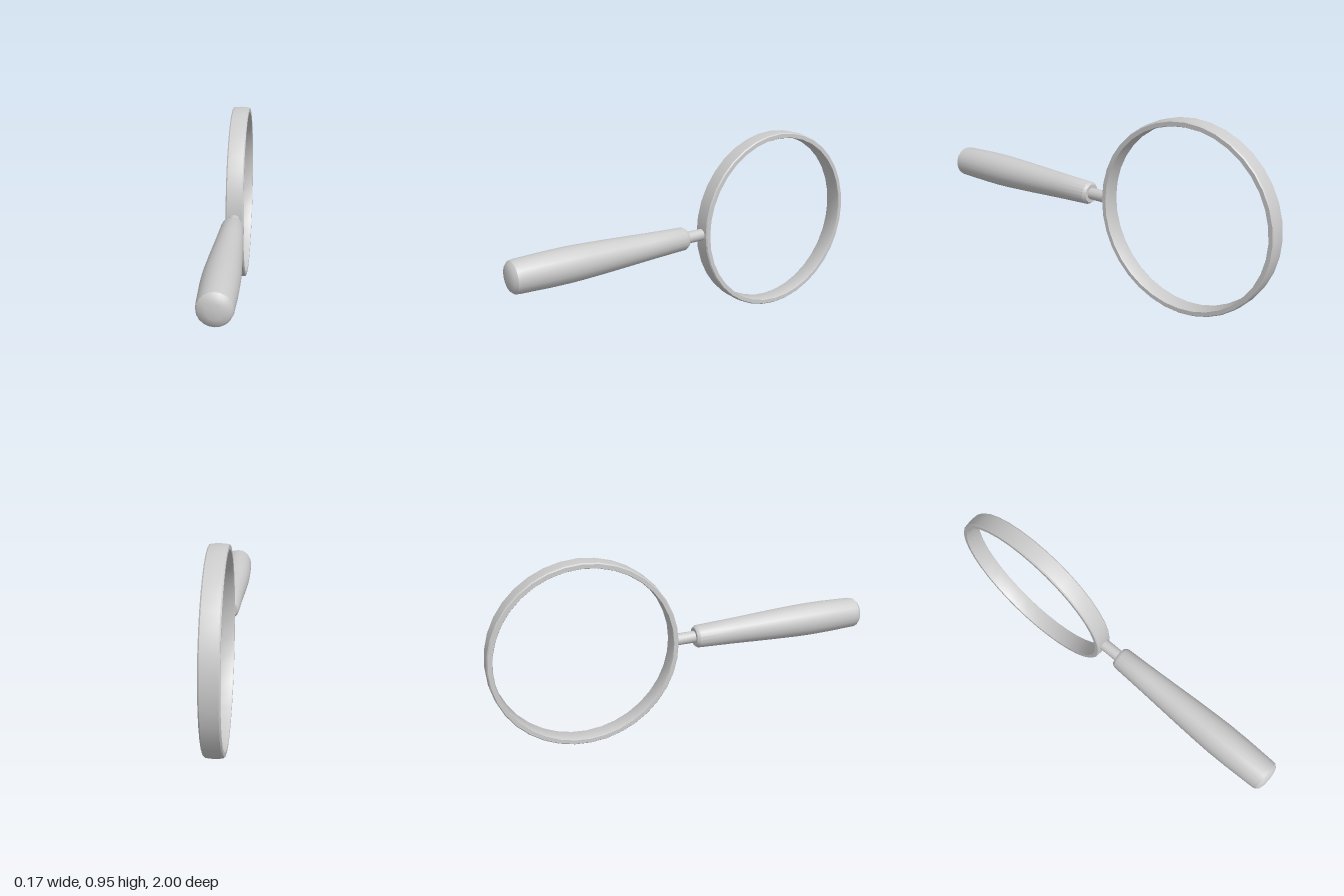
import * as THREE from 'three';
import { toCreasedNormals } from 'three/addons/utils/BufferGeometryUtils.js';

const CENTRE_Y = 0.477;

// Revolve a profile of [radius, height] pairs, keeping sharp edges crisp
function turned(name, profile, sides) {
  const points = profile.map(([r, h]) => new THREE.Vector2(r, h));
  const geometry = toCreasedNormals(new THREE.LatheGeometry(points, sides), 0.6);
  const material = new THREE.MeshStandardMaterial({ color: 0xcccccc });
  const mesh = new THREE.Mesh(geometry, material);
  mesh.name = name;
  return mesh;
}

export function createModel() {
  const group = new THREE.Group();
  group.name = 'magnifyingGlass';

  // Open rim: a flat band with bevelled edges, its axis along x
  const rim = turned('rim', [
    [0.449, -0.045], [0.469, -0.045], [0.474, -0.039], [0.477, 0],
    [0.474, 0.039], [0.469, 0.045], [0.449, 0.045], [0.446, 0.039],
    [0.446, -0.039], [0.449, -0.045],
  ], 36);
  rim.rotation.z = Math.PI / 2;
  rim.position.set(0, CENTRE_Y, -0.523);

  // Thin stem joining rim and handle, its axis along z
  const stem = turned('stem', [[0, -0.06], [0.03, -0.06], [0.03, 0.08], [0, 0.08]], 16);

  // Tapered grip with a bevelled collar and a slightly domed butt
  const handle = turned('handle', [
    [0, 0.05], [0.048, 0.05], [0.058, 0.065], [0.066, 0.25], [0.078, 0.48],
    [0.084, 0.62], [0.086, 0.7], [0.085, 0.8], [0.08, 0.955], [0.077, 0.976],
    [0.064, 0.99], [0.035, 0.998], [0, 1],
  ], 20);

  for (const part of [stem, handle]) {
    part.rotation.x = Math.PI / 2;
    part.position.y = CENTRE_Y;
  }

  group.add(rim, stem, handle);
  return group;
}
